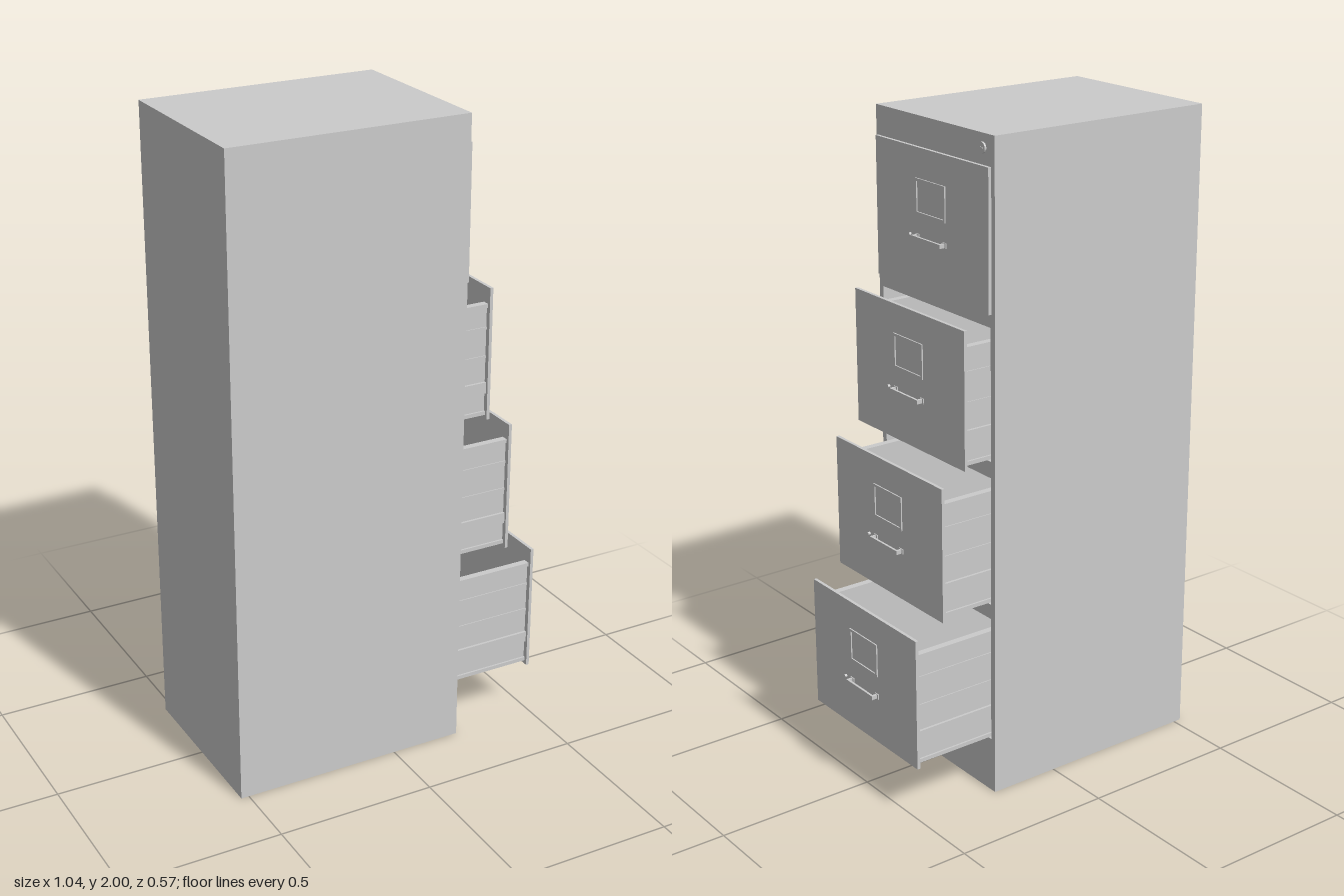
import * as THREE from 'three';

const grey = new THREE.MeshStandardMaterial({ color: 0xcccccc, flatShading: true });

// Box given by its min and max corners
function box(parent, name, x0, x1, y0, y1, z0, z1) {
  const mesh = new THREE.Mesh(new THREE.BoxGeometry(x1 - x0, y1 - y0, z1 - z0), grey);
  mesh.position.set((x0 + x1) / 2, (y0 + y1) / 2, (z0 + z1) / 2);
  mesh.name = name;
  parent.add(mesh);
  return mesh;
}

// Short cylinder pointing along +x, starting at x
function stud(parent, name, x, y, z, radius, length) {
  const geo = new THREE.CylinderGeometry(radius, radius, length, 20).rotateZ(-Math.PI / 2);
  const mesh = new THREE.Mesh(geo, grey);
  mesh.position.set(x + length / 2, y, z);
  mesh.name = name;
  parent.add(mesh);
}

function rect(path, z0, z1, y0, y1) {
  path.moveTo(z0, y0).lineTo(z1, y0).lineTo(z1, y1).lineTo(z0, y1).closePath();
  return path;
}

// Plate in the zy plane with rectangular holes [z0, z1, y0, y1], from x to x + depth
function plate(parent, name, x, depth, outer, holes) {
  const shape = rect(new THREE.Shape(), ...outer);
  shape.holes = holes.map((h) => rect(new THREE.Path(), ...h));
  const geo = new THREE.ExtrudeGeometry(shape, { depth, bevelEnabled: false });
  geo.rotateY(Math.PI / 2);
  const mesh = new THREE.Mesh(geo, grey);
  mesh.position.x = x;
  mesh.name = name;
  parent.add(mesh);
}

const BACK = -0.525, FRONT = 0.225, HALF = 0.283, WALL = 0.012;
const FRONT_HEIGHT = 0.413, BOX_HEIGHT = 0.35;

// Bottom edge of each drawer front and the x of its outer face
const drawers = [
  { y: 1.5, x: 0.237 },
  { y: 1.057, x: 0.321 },
  { y: 0.61, x: 0.402 },
  { y: 0.167, x: 0.499 },
];

// Origin of a drawer: outer face of its front, bottom edge, centre
function makeDrawer() {
  const d = new THREE.Group();
  const back = -0.7, inner = -0.01, floor = 0.012, top = floor + BOX_HEIGHT;
  box(d, 'drawerFront', inner, 0, 0, FRONT_HEIGHT, -0.27, 0.27);
  box(d, 'drawerFloor', back, inner, floor, floor + 0.008, -0.252, 0.252);
  box(d, 'drawerBack', back, back + 0.008, floor, top, -0.252, 0.252);
  for (const s of [-1, 1]) {
    const strip = (name, y0, y1, a, b) =>
      box(d, name, back, inner, y0, y1, Math.min(s * a, s * b), Math.max(s * a, s * b));
    strip('drawerSide', floor, top, 0.246, 0.254);
    strip('topLip', top - 0.012, top, 0.238, 0.26);
    strip('bottomLip', floor, floor + 0.012, 0.25, 0.26);
    strip('slideRail', floor + 0.07, floor + 0.105, 0.25, 0.262);
    for (const y of [0.18, 0.27]) strip('sideRib', floor + y, floor + y + 0.008, 0.25, 0.257);
  }

  // Pull handle with feet
  const handle = new THREE.Group();
  handle.name = 'handle';
  handle.position.y = 0.155;
  box(handle, 'grip', 0.014, 0.021, -0.006, 0.006, -0.07, 0.07);
  for (const s of [-1, 1]) {
    const z = s * 0.066;
    box(handle, 'post', 0, 0.016, -0.006, 0.006, z - 0.004, z + 0.004);
    box(handle, 'foot', 0, 0.003, -0.008, 0.008, z - 0.009, z + 0.009);
  }
  d.add(handle);

  // Thumb latch and label frame
  stud(d, 'latch', 0, 0.155, 0.1, 0.005, 0.008);
  plate(d, 'labelFrame', 0, 0.004, [-0.072, 0.072, 0.22, 0.325], [[-0.064, 0.064, 0.228, 0.317]]);
  return d;
}

export function createModel() {
  const model = new THREE.Group();
  const cabinet = new THREE.Group();
  cabinet.name = 'cabinet';
  model.add(cabinet);

  // Shell, open underneath up to the raised floor
  box(cabinet, 'topPanel', BACK, FRONT, 2 - WALL, 2, -HALF, HALF);
  box(cabinet, 'backPanel', BACK, BACK + WALL, 0, 2 - WALL, -HALF, HALF);
  for (const s of [-1, 1]) {
    const z = s * (HALF - WALL / 2);
    box(cabinet, 'sidePanel', BACK + WALL, FRONT, 0, 2 - WALL, z - WALL / 2, z + WALL / 2);
  }
  box(cabinet, 'floorPanel', BACK + WALL, FRONT - WALL, 0.155, 0.167, -HALF + WALL, HALF - WALL);

  // Face frame with one opening per drawer
  plate(cabinet, 'faceFrame', FRONT - WALL, WALL, [-HALF + WALL, HALF - WALL, 0, 2 - WALL],
    drawers.map(({ y }) => [-0.264, 0.264, y + 0.006, y + FRONT_HEIGHT - 0.01]));

  // Lock with key slot
  stud(cabinet, 'lock', FRONT, 1.96, -0.23, 0.016, 0.006);
  box(cabinet, 'keySlot', FRONT + 0.006, FRONT + 0.008, 1.958, 1.962, -0.239, -0.221);

  for (const { x, y } of drawers) {
    const drawer = makeDrawer();
    drawer.name = 'drawer';
    drawer.position.set(x, y, 0);
    model.add(drawer);
  }
  return model;
}
